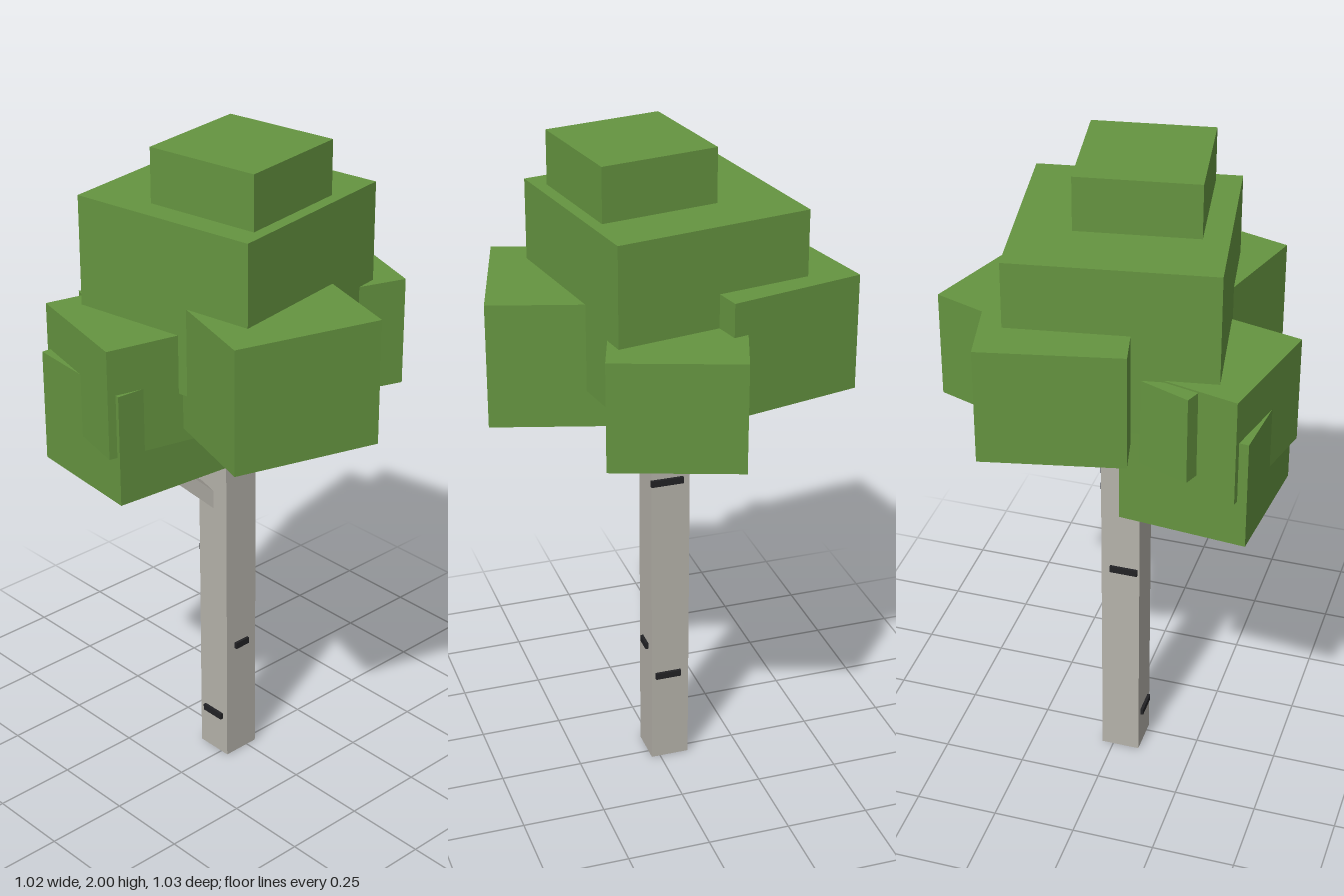
import * as THREE from 'three';

export function createModel() {
  const tree = new THREE.Group();
  tree.name = 'birchTree';

  const bark = new THREE.MeshStandardMaterial({ color: 0xb5b2aa });
  bark.name = 'paleBark';
  const dark = new THREE.MeshStandardMaterial({ color: 0x222225 });
  dark.name = 'darkBarkMark';
  const leaf = new THREE.MeshStandardMaterial({ color: 0x659440 });
  leaf.name = 'leafGreen';

  const addBox = (name, material, size, position, turn = 0) => {
    const mesh = new THREE.Mesh(new THREE.BoxGeometry(...size), material);
    mesh.name = name;
    mesh.position.set(...position);
    mesh.rotation.y = turn;
    tree.add(mesh);
    return mesh;
  };

  // Square trunk, ending inside the crown
  const cx = -0.032, cz = 0.024, width = 0.118, half = width / 2;
  addBox('trunk', bark, [width, 1.45, width], [cx, 0.725, cz]);

  // Slanted square branches
  const addBranch = (name, from, to, thickness) => {
    const a = new THREE.Vector3(...from), b = new THREE.Vector3(...to);
    const mid = a.clone().add(b).multiplyScalar(0.5);
    const branch = addBox(name, bark, [thickness, thickness, a.distanceTo(b)], mid.toArray());
    branch.lookAt(b);
  };
  addBranch('lowerBranch', [-0.035, 0.85, 0.04], [-0.15, 1.14, 0.33], 0.042);
  addBranch('upperBranch', [-0.01, 1.04, 0.05], [0.05, 1.28, 0.15], 0.04);

  // Thin bark marks: [face, height, offset along the face, width]
  const marks = [
    ['front', 0.135, -0.032, 0.078],
    ['right', 0.695, 0.035, 0.085],
    ['right', 1.09, 0.035, 0.085],
    ['left', 0.39, 0.025, 0.052],
    ['back', 0.3, -0.025, 0.08],
    ['back', 0.97, -0.02, 0.1],
    ['back', 1.025, -0.025, 0.082],
  ];
  const out = half + 0.0045;
  for (const [face, y, along, w] of marks) {
    const side = face === 'left' || face === 'right';
    const sign = face === 'front' || face === 'left' ? 1 : -1;
    addBox(face + 'BarkMark', dark,
      side ? [0.009, 0.02, w] : [w, 0.02, 0.009],
      side ? [cx + sign * out, y, along] : [along, y, cz + sign * out]);
  }

  // Leaf blocks: [name, x, z, bottom, top, width, turn]
  const leaves = [
    ['topLeaves', 0.058, 0.05, 1.78, 2.0, 0.351, 0.162],
    ['middleLeaves', -0.03, 0.02, 1.34, 1.84, 0.586, 0.165],
    ['leftLeaves', 0.236, 0.107, 1.23, 1.6, 0.438, -0.29],
    ['backLeaves', 0.028, -0.272, 1.22, 1.545, 0.381, -0.334],
    ['rightLeaves', -0.265, -0.099, 1.3, 1.645, 0.408, 0.215],
    ['frontLeaves', -0.119, 0.284, 1.19, 1.515, 0.379, -0.232],
    ['innerFrontLeaves', -0.13, 0.19, 1.245, 1.51, 0.36, -0.365],
    ['lowerFrontLeaves', -0.13, 0.287, 1.045, 1.38, 0.3735, -0.0886],
  ];
  for (const [name, x, z, bottom, top, w, turn] of leaves) {
    addBox(name, leaf, [w, top - bottom, w], [x, (top + bottom) / 2, z], turn);
  }

  return tree;
}
